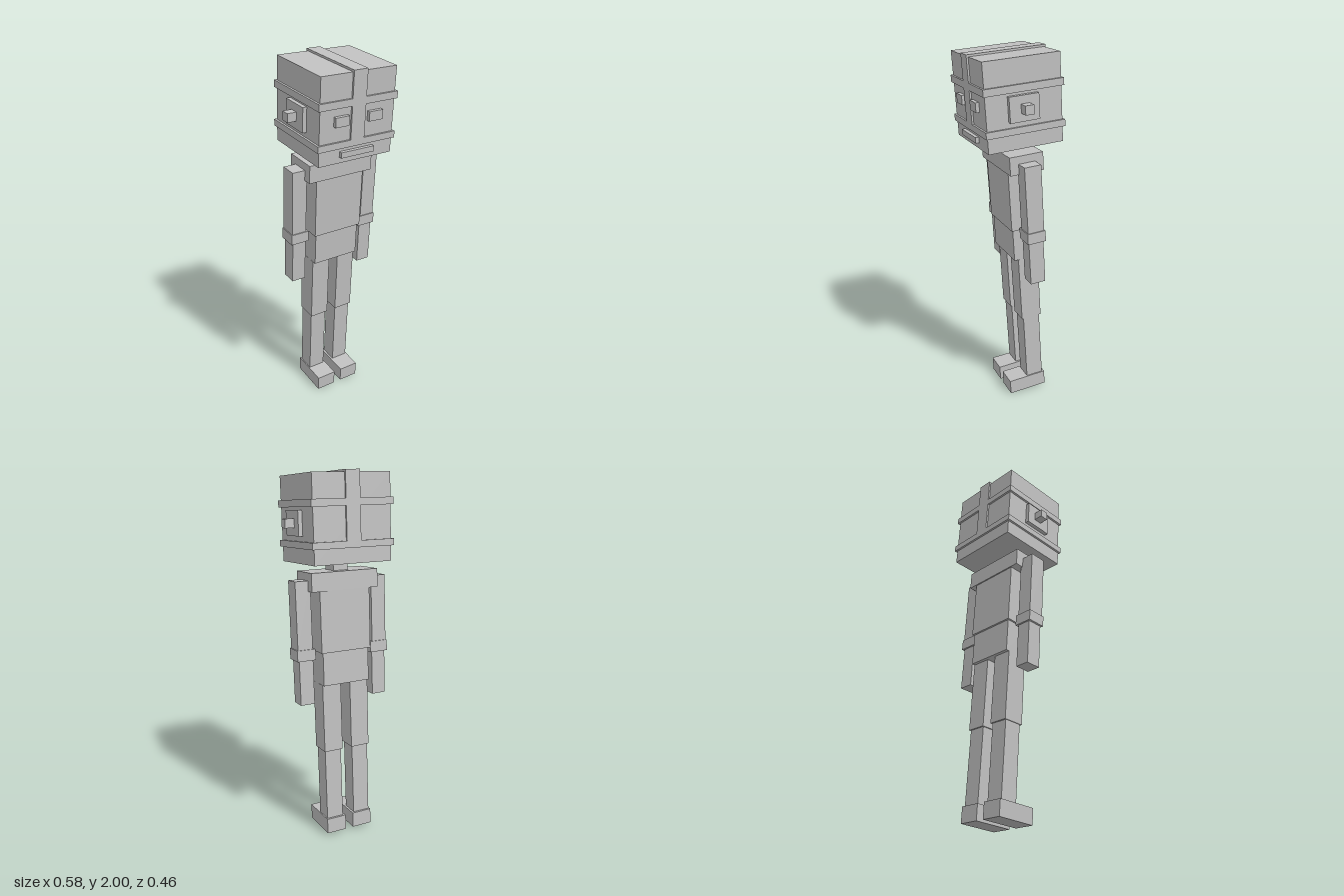
import * as THREE from 'three';

export function createModel() {
  const model = new THREE.Group();
  model.name = 'blockRobot';
  const grey = new THREE.MeshStandardMaterial({ color: 0xc0c0c0 });
  grey.name = 'plain grey';

  // The whole figure leans forward about its feet
  const body = new THREE.Group();
  body.name = 'leaningFigure';
  body.rotation.x = THREE.MathUtils.degToRad(4);
  model.add(body);

  const box = (name, w, h, d, x, y, z) => {
    const mesh = new THREE.Mesh(new THREE.BoxGeometry(w, h, d), grey);
    mesh.name = name;
    mesh.position.set(x, y, z);
    body.add(mesh);
  };
  const pair = (name, w, h, d, x, y, z) => {
    box(name + 'Left', w, h, d, x, y, z);
    box(name + 'Right', w, h, d, -x, y, z);
  };

  // Head with raised bands
  const headZ = -0.122, bodyZ = -0.13;
  box('head', 0.436, 0.45, 0.41, 0, 1.746, headZ);
  box('crest', 0.08, 0.372, 0.43, 0, 1.796, headZ);
  box('browBand', 0.46, 0.037, 0.43, 0, 1.826, headZ);
  box('jawBand', 0.46, 0.035, 0.43, 0, 1.618, headZ);

  // Face and ears
  pair('eye', 0.08, 0.05, 0.04, 0.098, 1.742, 0.082);
  box('mouth', 0.195, 0.03, 0.04, 0, 1.568, 0.082);
  pair('earPlate', 0.03, 0.13, 0.16, 0.225, 1.728, -0.114);
  pair('earKnob', 0.07, 0.047, 0.047, 0.255, 1.728, -0.118);

  // Trunk
  box('neck', 0.085, 0.09, 0.095, 0, 1.487, -0.126);
  box('shoulders', 0.385, 0.098, 0.188, 0, 1.427, bodyZ);
  box('torso', 0.29, 0.33, 0.175, 0, 1.214, bodyZ);
  box('pelvis', 0.27, 0.18, 0.157, 0, 0.958, bodyZ);

  // Arms
  pair('upperArm', 0.085, 0.365, 0.093, 0.222, 1.252, bodyZ);
  pair('elbowCuff', 0.104, 0.06, 0.103, 0.218, 1.042, bodyZ);
  pair('forearm', 0.08, 0.245, 0.085, 0.218, 0.892, bodyZ);

  // Legs
  pair('thigh', 0.108, 0.38, 0.117, 0.082, 0.678, -0.132);
  pair('shin', 0.096, 0.405, 0.098, 0.083, 0.286, -0.133);
  pair('foot', 0.114, 0.085, 0.222, 0.08, 0.0445, -0.083);

  return model;
}
